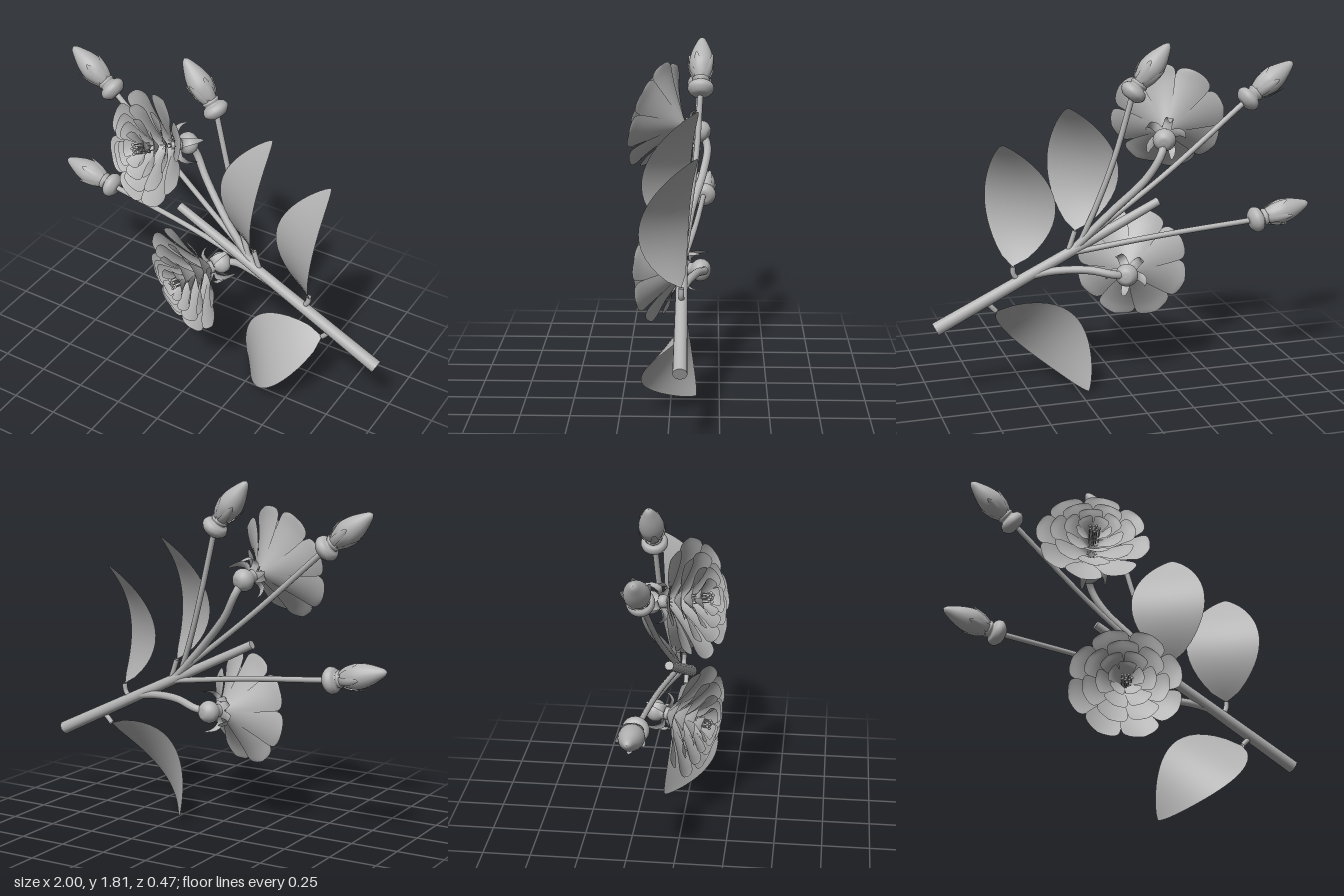
import * as THREE from 'three';

const V = (x, y, z) => new THREE.Vector3(x, y, z);
const grey = new THREE.MeshStandardMaterial({ color: 0xb4b4b4, side: THREE.DoubleSide });
grey.name = 'softGrey';

function mesh(name, geometry) {
  const m = new THREE.Mesh(geometry, grey);
  m.name = name;
  return m;
}

// Thin curved blade swept along a path: side = width direction, cup = direction the edges bend towards
function blade(path, side, width, cup, skew = 0, rows = 14, cols = 8) {
  const pos = [], idx = [];
  for (let i = 0; i <= rows; i++) {
    const t = Math.sin((i / rows) * Math.PI / 2);
    const c = path.getPoint(t), w = width(t);
    for (let j = 0; j <= cols; j++) {
      const s = (j / cols) * 2 - 1;
      const p = c.clone().addScaledVector(side, s * w).addScaledVector(cup, (s * s + skew * s) * w);
      pos.push(p.x, p.y, p.z);
      if (i < rows && j < cols) {
        const a = i * (cols + 1) + j, b = a + cols + 1;
        idx.push(a, a + 1, b, a + 1, b + 1, b);
      }
    }
  }
  const g = new THREE.BufferGeometry();
  g.setAttribute('position', new THREE.Float32BufferAttribute(pos, 3));
  g.setIndex(idx);
  g.computeVertexNormals();
  return g;
}

const petalWidth = W => t => W * Math.pow(t, 0.75) * Math.sqrt(Math.max(0, 1 - t ** 7));
const sepalWidth = W => t => W * Math.sqrt(Math.max(0, 1 - t * t));
const leafWidth = W => t => W * Math.pow(Math.max(0, Math.sin(Math.PI * Math.pow(t, 0.91))), 0.75);

// Smooth profile curve in the x (radius), y (height) plane
const profile = pts => new THREE.CatmullRomCurve3(pts.map(([r, h]) => V(r, h, 0)));

function tube(name, pts, radius) {
  return mesh(name, new THREE.TubeGeometry(new THREE.CatmullRomCurve3(pts.map(p => V(...p))), 24, radius, 10));
}

function lathe(name, pts) {
  const smooth = profile(pts).getPoints(30).map(p => new THREE.Vector2(Math.max(0, p.x), p.y));
  return mesh(name, new THREE.LatheGeometry(smooth, 20));
}

// Repeat a blade geometry around the y axis
function ring(group, name, count, geometry, turn) {
  for (let i = 0; i < count; i++) {
    const m = mesh(name, geometry);
    m.rotation.y = turn + (i / count) * Math.PI * 2;
    group.add(m);
  }
}

function aim(group, at, dir) {
  group.position.set(...at);
  group.quaternion.setFromUnitVectors(V(0, 1, 0), V(...dir).normalize());
  return group;
}

// lift moves the whole corolla along the flower axis
function makeFlower(turn, lift) {
  const g = new THREE.Group();
  g.name = 'flower';
  // swollen base and neck below the petals
  g.add(lathe('flowerBase', [[0, -0.05], [0.035, -0.043], [0.058, -0.01], [0.055, 0.02], [0.034, 0.05], [0.032, 0.085], [0, 0.11]]));
  const sepal = blade(profile([[0.028, 0.06], [0.07, 0.08], [0.103, 0.05], [0.11, -0.015]]),
    V(0, 0, 1), sepalWidth(0.024), V(0, 0.2, 0), 0, 8, 4);
  ring(g, 'sepal', 5, sepal, turn);
  const corolla = new THREE.Group();
  corolla.name = 'corolla';
  corolla.position.y = lift;
  g.add(corolla);
  // petal rings: count, radius, height, half width, height where the petals start
  [[8, 0.3, 0.25, 0.128, 0.07], [7, 0.225, 0.28, 0.108, 0.115], [6, 0.155, 0.305, 0.085, 0.17], [5, 0.092, 0.32, 0.06, 0.225]]
    .forEach(([n, R, H, W, h], k) => {
      const path = profile([[0.012, h], [R * 0.4, h + (H - h) * 0.47],
        [R * 0.76, h + (H - h) * 0.84], [R, H]]);
      ring(corolla, 'petal', n, blade(path, V(0, 0, 1), petalWidth(W), V(-0.1, 0.13, 0), 0.45), turn + k * 0.55);
    });
  // stamens
  for (let i = 0; i < 9; i++) {
    const a = i * 2.4, r = 0.01 * Math.sqrt(i);
    const stalk = mesh('stamen', new THREE.CylinderGeometry(0.003, 0.003, 0.1, 5));
    stalk.position.set(r * Math.cos(a), 0.265, r * Math.sin(a));
    const tip = mesh('stamenTip', new THREE.SphereGeometry(0.008, 8, 6));
    tip.position.set(r * Math.cos(a), 0.318, r * Math.sin(a));
    corolla.add(stalk, tip);
  }
  return g;
}

function makeBud(turn) {
  const g = new THREE.Group();
  g.name = 'bud';
  g.add(lathe('budBase', [[0, -0.04], [0.04, -0.037], [0.068, -0.006], [0.06, 0.022], [0.04, 0.035], [0.046, 0.05], [0.03, 0.066], [0, 0.07]]));
  g.add(lathe('budHead', [[0, 0.045], [0.036, 0.06], [0.055, 0.1], [0.064, 0.145], [0.055, 0.2], [0.034, 0.255], [0.016, 0.29], [0, 0.302]]));
  const sepal = blade(profile([[0.036, 0.045], [0.06, 0.09], [0.07, 0.135], [0.076, 0.175]]),
    V(0, 0, 1), sepalWidth(0.022), V(-0.3, 0, 0), 0, 8, 4);
  ring(g, 'budSepal', 5, sepal, turn);
  return g;
}

// Arched leaf from base to tip, bulging along normal n
function makeLeaf(base, tip, n) {
  const a = V(...base), b = V(...tip), normal = V(...n).normalize();
  const side = normal.clone().cross(b.clone().sub(a)).normalize();
  const mid = a.clone().add(b).multiplyScalar(0.5).addScaledVector(normal, 0.28);
  return mesh('leaf', blade(new THREE.QuadraticBezierCurve3(a, mid, b), side, leafWidth(0.197),
    normal.multiplyScalar(0.05), 0, 24, 10));
}

export function createModel() {
  const model = new THREE.Group();
  model.name = 'floweringBranch';

  // main branch, slightly tapered
  const from = V(0.985, 0.402, -0.062), to = V(-0.2, 0.98, -0.055);
  const branch = mesh('branch', new THREE.CylinderGeometry(0.023, 0.035, from.distanceTo(to), 16));
  aim(branch, from.clone().add(to).multiplyScalar(0.5).toArray(), to.clone().sub(from).toArray());
  model.add(branch);

  // flowers with their stalks
  model.add(aim(makeFlower(0.2, 0.025), [-0.2, 1.322, -0.145], [-0.36, 0.26, 0.9]));
  model.add(aim(makeFlower(0.7, 0), [0.0, 0.625, -0.15], [-0.38, -0.02, 0.9]));
  model.add(tube('flowerStalk', [[0.25, 0.77, -0.06], [0.06, 0.96, -0.1], [-0.1, 1.13, -0.16], [-0.17, 1.25, -0.18], [-0.2, 1.322, -0.15]], 0.021));
  model.add(tube('flowerStalk', [[0.52, 0.635, -0.06], [0.38, 0.66, -0.08], [0.2, 0.665, -0.13], [0.07, 0.64, -0.17], [0, 0.625, -0.15]], 0.021));

  // buds with their stalks
  model.add(aim(makeBud(0.3), [-0.655, 1.507, -0.135], [-0.24, 0.178, 0]));
  model.add(aim(makeBud(0.9), [-0.035, 1.577, -0.145], [-0.19, 0.24, -0.005]));
  model.add(aim(makeBud(0.5), [-0.705, 0.868, -0.16], [-0.29, 0.07, 0]));
  model.add(tube('budStalk', [[0.3, 0.74, -0.06], [-0.2, 1.12, -0.11], [-0.655, 1.507, -0.135]], 0.015));
  model.add(tube('budStalk', [[0.23, 0.78, -0.06], [0.14, 1.0, -0.092], [0.055, 1.25, -0.125], [-0.035, 1.577, -0.145]], 0.015));
  model.add(tube('budStalk', [[0.3, 0.74, -0.06], [-0.2, 0.815, -0.12], [-0.705, 0.868, -0.16]], 0.015));

  // leaves with short petioles
  const leaves = [
    [[0.25, 0.86, -0.06], [0.3, 1.513, -0.135], [-0.6, 0, 0.8], [0.29, 0.745, -0.06]],
    [[0.58, 0.697, -0.06], [0.635, 1.347, -0.135], [-0.6, 0, 0.8], [0.55, 0.62, -0.06]],
    [[0.67, 0.468, -0.06], [0.2, 0.004, -0.13], [-0.47, 0.36, 0.81], [0.73, 0.525, -0.06]],
  ];
  for (const [base, tip, n, root] of leaves) {
    model.add(makeLeaf(base, tip, n));
    const bend = [(base[0] * 2 + root[0]) / 3 + 0.006, (base[1] + root[1]) / 2, -0.06];
    model.add(tube('petiole', [root, bend, base], 0.014));
  }
  return model;
}
